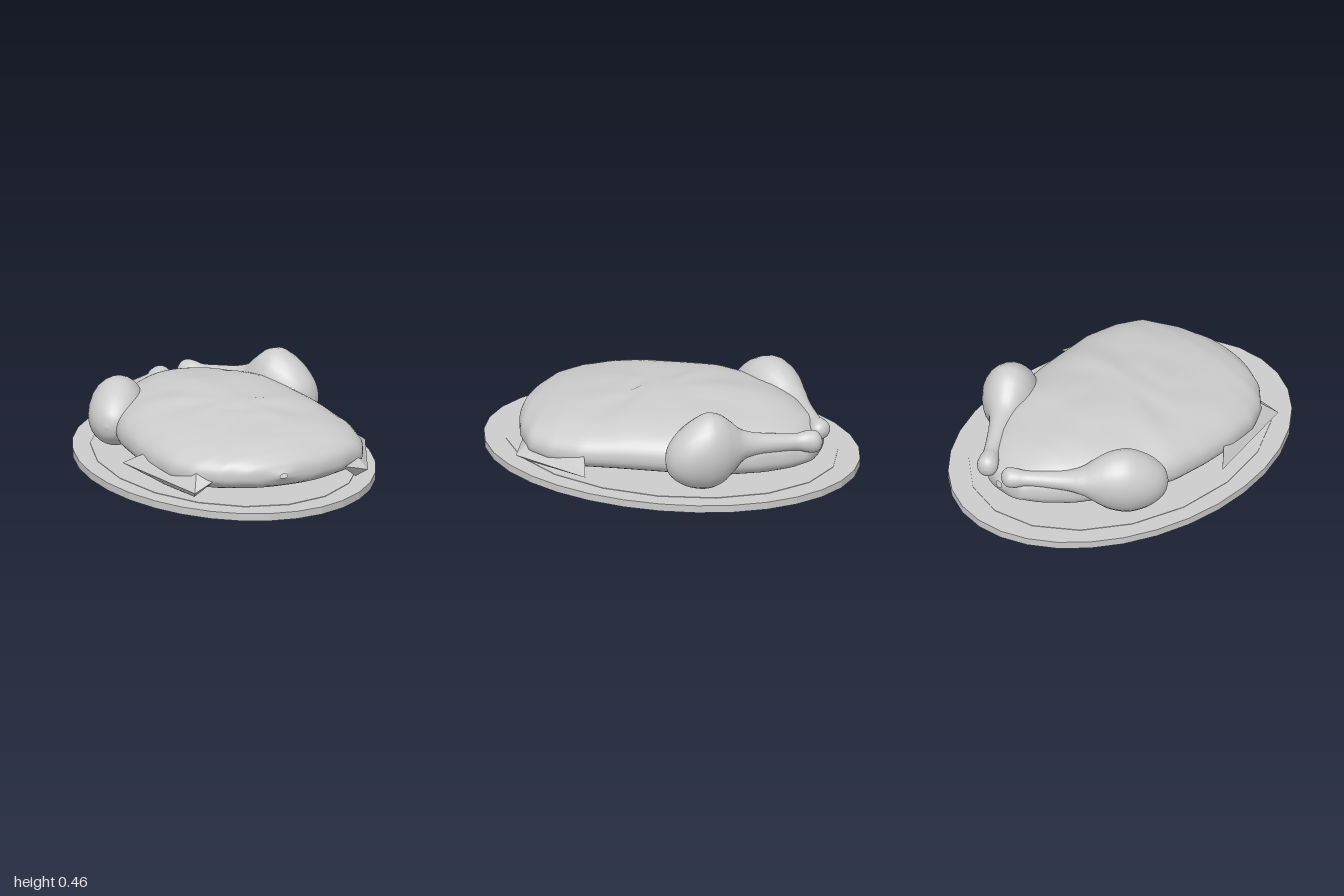
import * as THREE from 'three';
import { ConvexGeometry } from 'three/addons/geometries/ConvexGeometry.js';

const grey = () => new THREE.MeshStandardMaterial({ color: 0xcccccc, side: THREE.DoubleSide });

function add(parent, name, geometry) {
  const mesh = new THREE.Mesh(geometry, grey());
  mesh.name = name;
  parent.add(mesh);
  return mesh;
}

// Skin a grid of closed rings; point(i, a) gives a vertex on ring i at angle a.
function loft(rings, sides, point) {
  const positions = [], index = [];
  for (let i = 0; i < rings; i++) {
    for (let j = 0; j < sides; j++) {
      positions.push(...point(i, (j / sides) * Math.PI * 2));
      if (i === rings - 1) continue;
      const k = i * sides + j, n = i * sides + (j + 1) % sides;
      index.push(k, n, k + sides, n, n + sides, k + sides);
    }
  }
  const g = new THREE.BufferGeometry();
  g.setAttribute('position', new THREE.Float32BufferAttribute(positions, 3));
  g.setIndex(index);
  g.computeVertexNormals();
  return g;
}

// Piecewise-linear lookup in rows whose first column is the key.
function sample(rows, t) {
  let i = 0;
  while (i < rows.length - 2 && t > rows[i + 1][0]) i++;
  const a = rows[i], b = rows[i + 1];
  const f = THREE.MathUtils.clamp((t - a[0]) / (b[0] - a[0]), 0, 1);
  return a.map((v, k) => v + (b[k] - v) * f);
}

// Body sections: z, right edge, left edge, bottom, top
const BODY = [
  [-0.82, 0.02, 0.06, 0.14, 0.18],
  [-0.80, -0.10, 0.15, 0.10, 0.22],
  [-0.72, -0.20, 0.24, 0.07, 0.28],
  [-0.60, -0.32, 0.34, 0.05, 0.325],
  [-0.45, -0.42, 0.43, 0.04, 0.355],
  [-0.30, -0.50, 0.50, 0.04, 0.37],
  [-0.10, -0.55, 0.54, 0.04, 0.37],
  [0.10, -0.555, 0.57, 0.04, 0.36],
  [0.30, -0.54, 0.60, 0.04, 0.34],
  [0.48, -0.50, 0.58, 0.045, 0.32],
  [0.60, -0.43, 0.53, 0.06, 0.30],
  [0.70, -0.31, 0.38, 0.085, 0.27],
  [0.76, -0.17, 0.22, 0.11, 0.235],
  [0.79, -0.01, 0.03, 0.155, 0.18],
];

function bodyGeometry() {
  const STEPS = 72;
  const pow = (v, e) => Math.sign(v) * Math.abs(v) ** e;
  return loft(STEPS + 1, 64, (i, a) => {
    // rings crowd towards both ends
    const z = -0.015 - 0.805 * Math.cos((i / STEPS) * Math.PI);
    const [, x0, x1, bottom, top] = sample(BODY, z);
    const mid = bottom + (top - bottom) * 0.42;
    const c = pow(Math.cos(a), 0.85), s = pow(Math.sin(a), 0.85);
    const x = (x0 + x1) / 2 + c * (x1 - x0) / 2;
    let y = mid + s * (s > 0 ? top - mid : mid - bottom);
    if (s > 0) {
      // puckered skin radiating from the breast, plus one small pit
      const r = Math.hypot(x, z - 0.08), th = Math.atan2(z - 0.08, x);
      y += s * 0.010 * Math.sin(7 * th + 3 * r) * r * Math.exp(-r * r * 6) * 3;
      y += s * 0.006 * Math.sin(11 * x + 7 * z) * Math.sin(9 * z - 4 * x);
      y -= 0.03 * Math.exp(-((x + 0.01) ** 2 + (z - 0.2) ** 2) / 0.0012);
    }
    return [x, y, z];
  });
}

// Leg sections: t along the leg, half width, half height as share of thigh height, shin share
const LEG = [
  [0, 0, 0], [0.02, 0.06, 0.36], [0.07, 0.105, 0.62], [0.15, 0.135, 0.86], [0.25, 0.145, 1],
  [0.33, 0.135, 0.93], [0.42, 0.105, 0.66], [0.50, 0.075, 0.38], [0.58, 0.06, 0.29],
  [0.72, 0.048, 0.24], [0.84, 0.043, 0.22], [0.90, 0.052, 0.28], [0.95, 0.054, 0.29],
  [0.985, 0.035, 0.19], [1, 0, 0],
];

// path rows: t, x, y, z
function legGeometry(path, halfHeight) {
  const first = path[0], last = path[path.length - 1];
  const dir = new THREE.Vector3(last[1] - first[1], 0, last[3] - first[3]).normalize();
  const across = new THREE.Vector3(0, 1, 0).cross(dir);
  const curve = new THREE.CatmullRomCurve3(LEG.map(r => new THREE.Vector3(...r)));
  const RINGS = 49;
  return loft(RINGS, 24, (i, a) => {
    const p = curve.getPoint(i / (RINGS - 1));
    const t = THREE.MathUtils.clamp(p.x, 0, 1);
    const [, x, y, z] = sample(path, t);
    const w = Math.cos(a) * Math.max(p.y, 0);
    const h = Math.sin(a) * Math.max(p.z, 0) * halfHeight;
    return [x + across.x * w, y + h, z + across.z * w];
  });
}

function wing(parent, name, corners) {
  const g = new ConvexGeometry(corners.map(c => new THREE.Vector3(...c)));
  add(parent, name, g).material.flatShading = true;
}

export function createModel() {
  const model = new THREE.Group();
  model.name = 'roastBirdOnPlatter';

  // Platter with a thin inner panel
  const platter = new THREE.CylinderGeometry(1, 1, 0.04, 32);
  platter.scale(0.745, 1, 1).translate(0, 0.02, 0);
  add(model, 'platter', platter).material.flatShading = true;
  const panel = new THREE.CylinderGeometry(1, 1, 0.003, 18);
  panel.scale(0.655, 1, 0.885).translate(0, 0.0415, 0);
  add(model, 'platterCentre', panel).material.flatShading = true;

  add(model, 'body', bodyGeometry());

  // Drumsticks, each with thigh, shin and knuckle
  add(model, 'leftLeg', legGeometry([
    [0, 0.58, 0.21, -0.17], [0.25, 0.455, 0.25, -0.355], [0.5, 0.34, 0.26, -0.51], [1, 0.10, 0.23, -0.86],
  ], 0.205));
  add(model, 'rightLeg', legGeometry([
    [0, -0.575, 0.20, -0.195], [0.25, -0.45, 0.225, -0.37], [0.5, -0.30, 0.24, -0.57], [1, 0.01, 0.23, -0.835],
  ], 0.175));

  // Folded wings ending in sharp points
  wing(model, 'leftWing', [
    [0.695, 0.11, 0.23], [0.62, 0.165, 0.26], [0.53, 0.10, 0.67], [0.48, 0.055, 0.62],
    [0.38, 0.14, 0.68], [0.44, 0.24, 0.55], [0.50, 0.24, 0.32], [0.50, 0.055, 0.38],
  ]);
  wing(model, 'rightWing', [
    [-0.625, 0.12, 0.14], [-0.57, 0.165, 0.20], [-0.45, 0.10, 0.70], [-0.42, 0.055, 0.62],
    [-0.31, 0.15, 0.66], [-0.38, 0.235, 0.56], [-0.47, 0.235, 0.30], [-0.48, 0.05, 0.35],
  ]);

  return model;
}
